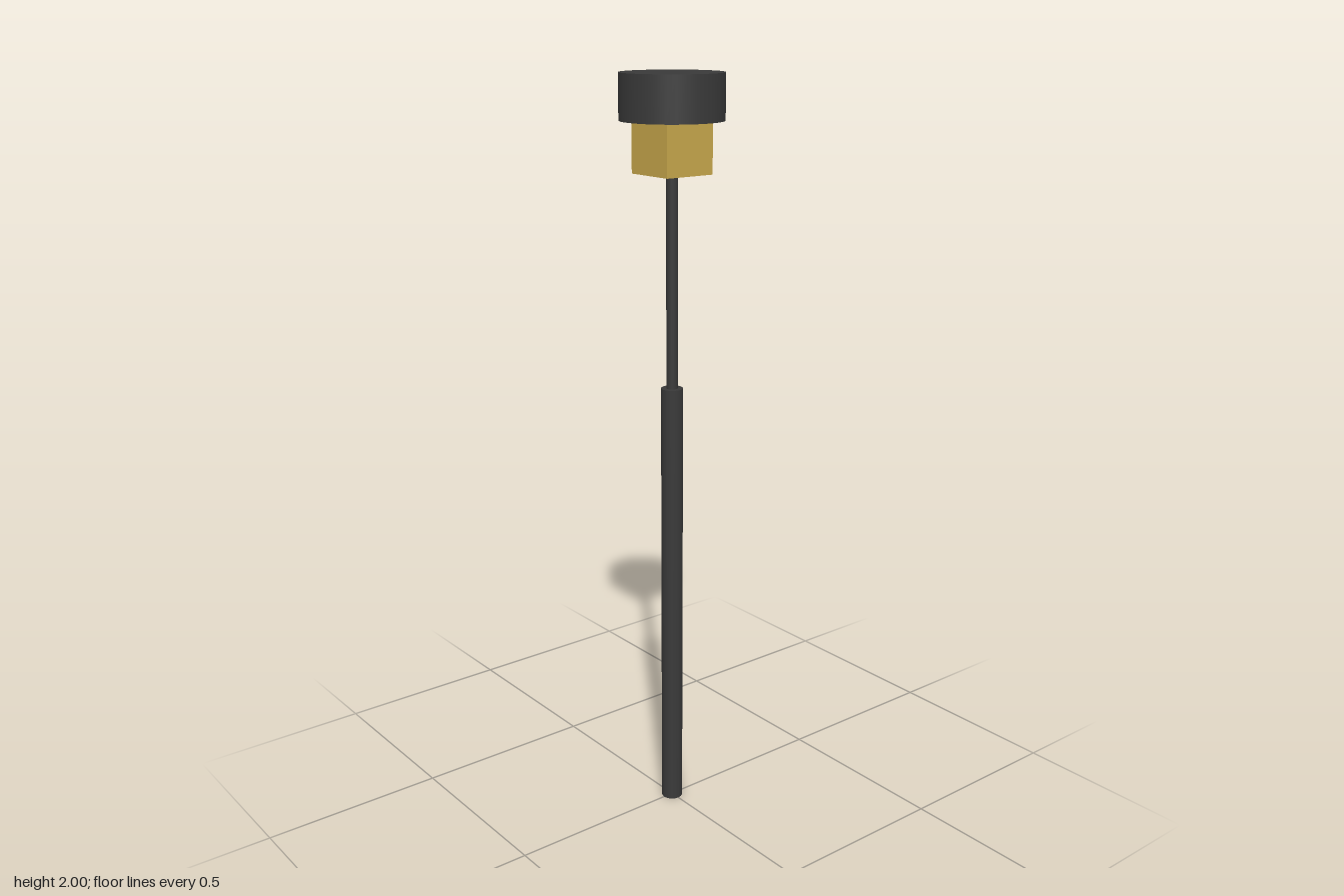
import * as THREE from 'three';

export function createModel() {
  const group = new THREE.Group();
  const dark = new THREE.MeshStandardMaterial({ color: 0x3a3a3a });
  const brass = new THREE.MeshStandardMaterial({ color: 0xc9a84c });

  // Places a part so that it spans bottom..top on the vertical axis
  const add = (name, geometry, material, bottom, top) => {
    const mesh = new THREE.Mesh(geometry, material);
    mesh.name = name;
    mesh.position.y = (bottom + top) / 2;
    group.add(mesh);
  };
  const rod = (name, radius, bottom, top, sides) =>
    add(name, new THREE.CylinderGeometry(radius, radius, top - bottom, sides), dark, bottom, top);

  // Thick lower sleeve, thin stem and round cap
  rod('lowerSleeve', 0.029, 0, 1.205, 16);
  rod('stem', 0.015, 1.205, 1.755, 16);
  rod('cap', 0.132, 1.885, 2, 32);

  // Square brass block under the cap
  add('brassBlock', new THREE.BoxGeometry(0.143, 0.13, 0.143), brass, 1.755, 1.885);

  return group;
}
